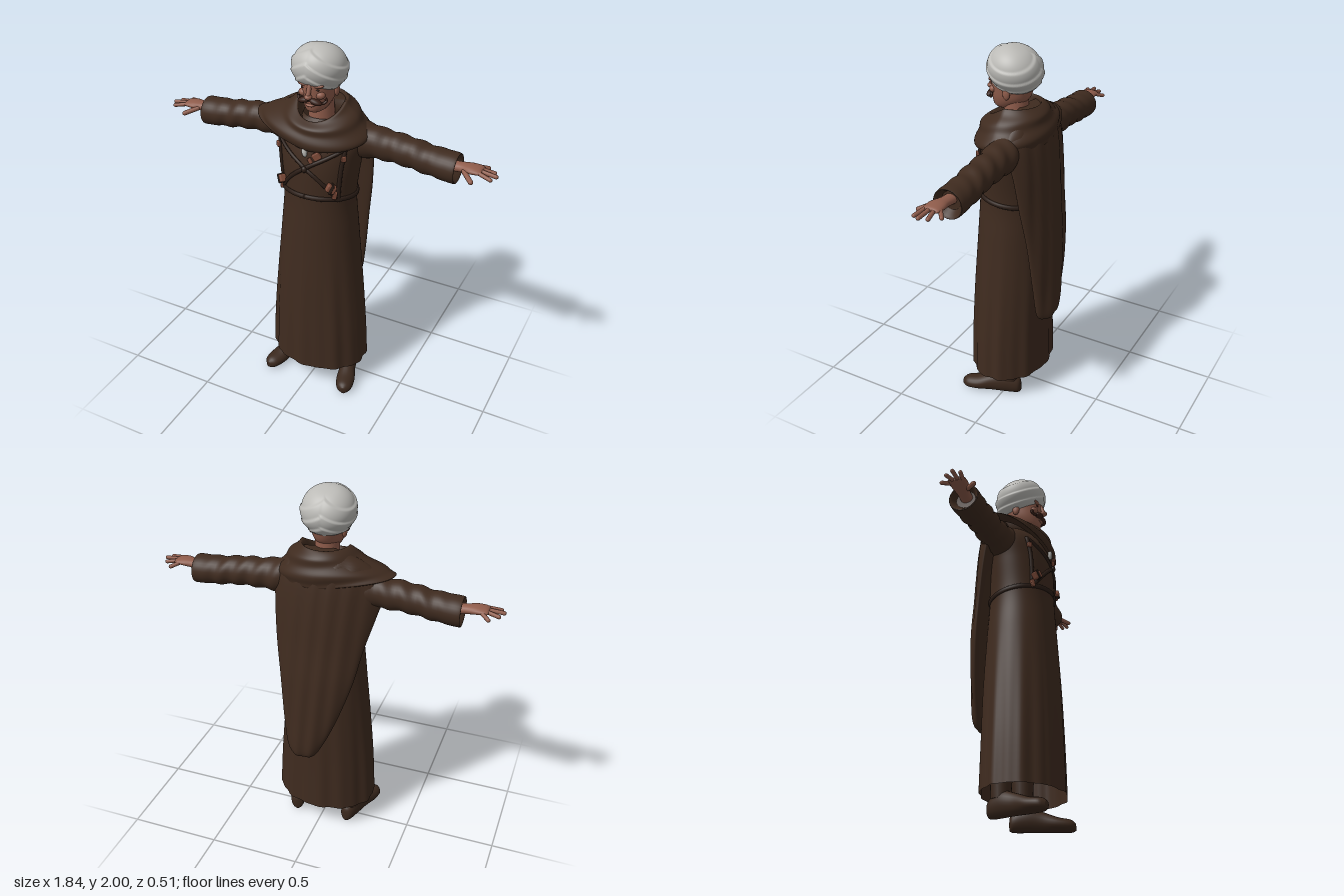
import * as THREE from 'three';
import { RoundedBoxGeometry } from 'three/addons/geometries/RoundedBoxGeometry.js';

const V = (x, y, z) => new THREE.Vector3(x, y, z);
const { smoothstep, clamp } = THREE.MathUtils;

// Catmull-Rom lookup in a table of rows, t from 0 to 1
function sample(keys, t) {
  const n = keys.length - 1, i = Math.min(Math.floor(t * n), n - 1), f = t * n - i;
  const k = (j) => keys[clamp(j, 0, n)];
  return keys[0].map((_, c) => {
    const a = k(i - 1)[c], b = k(i)[c], d = k(i + 1)[c], e = k(i + 2)[c];
    return b + 0.5 * f * (d - a + f * (2 * a - 5 * b + 4 * d - e + f * (3 * (b - d) + e - a)));
  });
}

// Closed-ring surface: fn(v, angle) gives a point
function loft(nv, nu, fn, caps = false) {
  const pos = [], idx = [];
  for (let i = 0; i <= nv; i++)
    for (let j = 0; j < nu; j++) pos.push(...fn(i / nv, (j / nu) * Math.PI * 2).toArray());
  for (let i = 0; i < nv; i++)
    for (let j = 0; j < nu; j++) {
      const k = (j + 1) % nu, a = i * nu + j, b = i * nu + k;
      idx.push(a, b, a + nu, b, b + nu, a + nu);
    }
  if (caps) for (const row of [0, nv]) {
    const c = V(0, 0, 0), id = pos.length / 3;
    for (let j = 0; j < nu; j++) c.add(V(0, 0, 0).fromArray(pos, (row * nu + j) * 3));
    pos.push(...c.divideScalar(nu).toArray());
    for (let j = 0; j < nu; j++) {
      const a = row * nu + j, b = row * nu + ((j + 1) % nu);
      idx.push(id, ...(row ? [a, b] : [b, a]));
    }
  }
  const g = new THREE.BufferGeometry();
  g.setAttribute('position', new THREE.Float32BufferAttribute(pos, 3));
  g.setIndex(idx);
  g.computeVertexNormals();
  return g;
}

// Elliptic sections along an axis; rows are [s, centre1, centre2, radius1, radius2]
function sections(axis, keys, nv, nu, mod = () => {}) {
  return loft(nv, nu, (v, a) => {
    const [s, c1, c2, r1, r2] = sample(keys, v), co = Math.cos(a), si = Math.sin(a);
    const p = axis === 'x' ? V(s, c1 + r1 * co, c2 + r2 * si)
      : axis === 'y' ? V(c1 + r1 * si, s, c2 + r2 * co)
      : V(c1 + r1 * co, c2 + r2 * si, s);
    mod(p, a);
    return p;
  }, true);
}

// Mirrored copy of an indexed geometry, with its faces turned back outwards
function mirror(geo) {
  const g = geo.clone().scale(-1, 1, 1), ix = g.index.array;
  for (let i = 0; i < ix.length; i += 3) [ix[i], ix[i + 1]] = [ix[i + 1], ix[i]];
  return g;
}

const capsule = (a, b, r) => new THREE.CapsuleGeometry(r, a.distanceTo(b), 5, 10)
  .applyQuaternion(new THREE.Quaternion().setFromUnitVectors(V(0, 1, 0), b.clone().sub(a).normalize()))
  .translate(...a.clone().add(b).multiplyScalar(0.5).toArray());

const blob = (x, y, z, rx, ry, rz, roll = 0) =>
  new THREE.SphereGeometry(1, 16, 12).scale(rx, ry, rz).rotateZ(roll).translate(x, y, z);

// Robe outline, shared by the gown and everything strapped to it
const ROBE = [
  [0.14, 0, 0.035, 0.275, 0.21], [0.4, 0, 0.035, 0.262, 0.206], [0.7, 0, 0.032, 0.238, 0.2],
  [1.0, 0, 0.03, 0.21, 0.186], [1.2, 0, 0.03, 0.195, 0.174], [1.4, 0, 0.025, 0.217, 0.175],
  [1.52, 0, 0.01, 0.235, 0.165], [1.59, 0, 0, 0.2, 0.13], [1.63, 0, 0, 0.1, 0.09],
];
function robePoint(t, a) {
  const [y, cx, cz, rx, rz] = sample(ROBE, t);
  const low = 1 - smoothstep(y, 0.15, 1.2);
  const lap = 0.02 * smoothstep(a > Math.PI ? a - 2 * Math.PI : a, -0.62, -0.57) * smoothstep(Math.abs(a - Math.PI), 0, 2.5);
  const k = 1 + low * (0.018 * Math.cos(10 * a) + 0.011 * Math.cos(17 * a + 1) + lap);
  return V(cx + rx * k * Math.sin(a), y, cz + rz * k * Math.cos(a));
}
function onRobe(a, y) {
  let i = 0;
  while (i < ROBE.length - 2 && ROBE[i + 1][0] < y) i++;
  const t = (i + (y - ROBE[i][0]) / (ROBE[i + 1][0] - ROBE[i][0])) / (ROBE.length - 1);
  return robePoint(t, a);
}
const outward = (a) => V(Math.sin(a) / 0.21, 0, Math.cos(a) / 0.175).normalize();

// Flat leather band following the robe through [angle, height] points
function strap(points, width, n = 30) {
  const at = (t) => { const [a, y] = sample(points, clamp(t, 0, 1)); return { a, p: onRobe(a, y) }; };
  return loft(n, 8, (v, u) => {
    const { a, p } = at(v), nrm = outward(a);
    const side = at(v + 0.01).p.sub(at(v - 0.01).p).normalize().cross(nrm).normalize();
    return p.addScaledVector(side, -width * Math.cos(u)).addScaledVector(nrm, 0.004 + 0.008 * Math.sin(u));
  }, true);
}
const attach = (geo, a, y, roll = 0, lift = 0.012) => {
  const n = outward(a);
  return geo.rotateZ(roll).rotateY(Math.atan2(n.x, n.z)).translate(...onRobe(a, y).addScaledVector(n, lift).toArray());
};

export function createModel() {
  const model = new THREE.Group();
  const mat = (name, color, side = THREE.FrontSide) => {
    const m = new THREE.MeshStandardMaterial({ color, side });
    m.name = name;
    return m;
  };
  const cloth = mat('brownCloth', 0x3f2b1f, THREE.DoubleSide), leather = mat('darkLeather', 0x2c1e17);
  const skin = mat('skin', 0x8f5c4b), hair = mat('hair', 0x3a2119), linen = mat('whiteLinen', 0xbcbbb7);
  const tan = mat('tanLeather', 0x7d4a38), boots = mat('bootLeather', 0x3a281d);
  const add = (name, geo, m) => {
    const mesh = new THREE.Mesh(geo, m);
    mesh.name = name;
    model.add(mesh);
  };
  const pair = (name, geo, m) => { add(name + 'Left', geo, m); add(name + 'Right', mirror(geo), m); };

  // Long robe, open at the hem
  add('robe', loft(64, 120, robePoint), cloth);

  // Sleeves with creases and a turned-in cuff
  pair('sleeve', sections('x', [
    [0.1, 1.5, -0.02, 0.06, 0.08], [0.2, 1.512, -0.025, 0.09, 0.092], [0.32, 1.506, -0.032, 0.08, 0.078],
    [0.45, 1.498, -0.03, 0.076, 0.076], [0.58, 1.48, -0.03, 0.074, 0.078], [0.7, 1.47, -0.028, 0.077, 0.08],
    [0.712, 1.47, -0.028, 0.068, 0.07], [0.68, 1.475, -0.028, 0.045, 0.05],
  ], 70, 32, (p, a) => {
    const k = 0.004 * Math.sin(p.x * 62 + 2 * Math.sin(a + 1)) * (1 - smoothstep(p.x, 0.55, 0.7));
    p.y += k * Math.cos(a);
    p.z += k * Math.sin(a);
  }), cloth);

  // Hands with spread fingers
  pair('palm', sections('x', [
    [0.66, 1.48, -0.025, 0.026, 0.032], [0.73, 1.487, -0.022, 0.024, 0.033],
    [0.78, 1.493, -0.018, 0.022, 0.045], [0.825, 1.494, -0.018, 0.016, 0.046], [0.84, 1.493, -0.018, 0.008, 0.038],
  ], 18, 20), skin);
  [[0.805, -0.05, 0.848, -0.085, 1.478], [0.825, -0.033, 0.891, -0.043, 1.482], [0.83, -0.01, 0.909, -0.004, 1.486],
    [0.825, 0.013, 0.891, 0.03, 1.482]].forEach(([x0, z0, x1, z1, y], i) =>
    pair('finger' + (i + 1), capsule(V(x0, 1.494, z0), V(x1, y, z1), 0.0105), skin));
  pair('thumb', capsule(V(0.755, 1.485, 0.012), V(0.808, 1.466, 0.064), 0.0125), skin);

  // Shoes, flat underneath and turned outwards, with trouser legs
  pair('shoe', sections('z', [
    [-0.168, 0, 0.04, 0.012, 0.03], [-0.15, 0, 0.05, 0.036, 0.05], [-0.08, 0, 0.062, 0.045, 0.066],
    [0, 0, 0.05, 0.044, 0.055], [0.08, 0, 0.036, 0.052, 0.04], [0.145, 0, 0.03, 0.042, 0.033], [0.172, 0, 0.025, 0.014, 0.018],
  ], 30, 24, (p) => { p.y = Math.max(p.y, 0); }).rotateY(0.29).translate(0.195, 0, 0.068), boots);
  pair('trouserLeg', new THREE.CylinderGeometry(0.07, 0.05, 0.42, 20).translate(0.16, 0.3, -0.025), boots);

  // Cape hanging down the back to an off-centre tip
  add('cape', sections('y', [
    [0.52, 0.06, -0.21, 0.03, 0.015], [0.56, 0.06, -0.214, 0.085, 0.04], [0.75, 0.03, -0.207, 0.145, 0.042],
    [1.0, 0, -0.192, 0.2, 0.044], [1.2, -0.01, -0.172, 0.235, 0.044], [1.4, -0.03, -0.148, 0.27, 0.05],
    [1.55, -0.045, -0.112, 0.29, 0.066], [1.64, -0.03, -0.085, 0.21, 0.07], [1.7, 0, -0.07, 0.12, 0.045],
  ], 50, 72, (p, a) => {
    p.z += 0.8 * p.x * p.x + 0.005 * Math.cos(p.x * 70 + p.y * 6) * Math.max(0, -Math.cos(a));
  }), cloth);

  // Draped cowl, spreading over the right shoulder
  add('cowl', loft(48, 96, (v, a) => {
    const f = Math.max(0, Math.cos(a)), r = Math.max(0, -Math.sin(a));
    const [y, rx, rz] = sample([
      [1.53 - 0.02 * f + 0.04 * r, 0.22 + 0.08 * r, 0.165], [1.545 - 0.04 * f + 0.045 * r, 0.262 + 0.1 * r, 0.193],
      [1.615 - 0.04 * f + 0.01 * r, 0.225 + 0.05 * r, 0.188], [1.68 - 0.06 * f, 0.168, 0.165],
      [1.715 - 0.08 * f, 0.122, 0.126], [1.64 - 0.05 * f, 0.095, 0.1],
    ], v);
    const k = 1 + 0.03 * Math.sin(v * 24 + 1.6 * Math.sin(a + 0.5)) * smoothstep(v, 0.05, 0.3);
    return V(rx * k * Math.sin(a), y, 0.012 + rz * k * Math.cos(a));
  }), cloth);

  // Head and face
  add('neck', new THREE.CylinderGeometry(0.06, 0.068, 0.18, 24).translate(0, 1.67, 0.015), skin);
  add('head', sections('y', [
    [1.672, 0, 0.085, 0.025, 0.03], [1.69, 0, 0.07, 0.052, 0.068], [1.73, 0, 0.048, 0.074, 0.098],
    [1.78, 0, 0.038, 0.084, 0.111], [1.85, 0, 0.03, 0.09, 0.116], [1.92, 0, 0.03, 0.07, 0.09],
  ], 24, 32), skin);
  add('noseBridge', capsule(V(0, 1.822, 0.143), V(0, 1.778, 0.162), 0.012), skin);
  add('noseTip', blob(0, 1.772, 0.161, 0.02, 0.014, 0.02), skin);
  add('lowerLip', blob(0, 1.722, 0.143, 0.025, 0.008, 0.012), skin);
  pair('ear', blob(0.088, 1.775, 0.025, 0.012, 0.032, 0.02), skin);
  pair('cheek', blob(0.045, 1.775, 0.12, 0.026, 0.02, 0.022), skin);
  pair('browRidge', blob(0.038, 1.824, 0.131, 0.032, 0.01, 0.015, 0.12), skin);
  pair('eye', blob(0.036, 1.805, 0.136, 0.014, 0.004, 0.005), hair);
  pair('moustache', blob(0.03, 1.746, 0.143, 0.036, 0.015, 0.02, -0.25), hair);
  pair('moustacheCurl', new THREE.TubeGeometry(new THREE.CatmullRomCurve3(
    [V(0.045, 1.741, 0.142), V(0.066, 1.738, 0.126), V(0.077, 1.752, 0.114), V(0.07, 1.762, 0.118)]), 14, 0.007, 8), hair);

  // Wound turban: overlapping folds that cross above the brow
  const saw = (t) => { const f = t - Math.floor(t); return f < 0.85 ? f / 0.85 : (1 - f) / 0.15; };
  add('turban', loft(80, 112, (v, a) => {
    const h = -Math.PI / 2 + v * Math.PI;
    const p = V(Math.cos(h) * Math.sin(a), Math.sin(h), Math.cos(h) * Math.cos(a));
    const left = saw(2.3 * (p.y * 0.85 - p.x * 0.5 + p.z * 0.15) + 0.2), right = saw(2.3 * (p.y * 0.85 + p.x * 0.5 + p.z * 0.15) + 0.45);
    const fold = THREE.MathUtils.lerp(left, right, smoothstep(p.x, -0.1, 0.02));
    return p.multiplyScalar(0.975 + 0.045 * fold * smoothstep(Math.cos(h), 0, 0.5));
  }).scale(0.141, 0.121, 0.146).rotateX(-0.3).translate(-0.005, 1.878, 0.024), linen);

  // Harness: crossed straps, side straps and belt
  add('crossStrapA', strap([[-0.85, 1.51], [-0.4, 1.45], [0, 1.4], [0.4, 1.33], [0.85, 1.24]], 0.011), leather);
  add('crossStrapB', strap([[0.85, 1.51], [0.4, 1.45], [0, 1.4], [-0.4, 1.33], [-0.85, 1.24]], 0.011), leather);
  pair('sideStrap', strap([[0.87, 1.52], [0.88, 1.35], [0.9, 1.22]], 0.012), leather);
  add('belt', strap([...Array(13).keys()].map((i) => {
    const a = (i / 12) * Math.PI * 2;
    return [a, 1.215 + 0.025 * Math.cos(a)];
  }), 0.014, 72), leather);
  for (const a of [0.87, -0.87])
    add('strapBuckle', attach(new RoundedBoxGeometry(0.026, 0.03, 0.016, 2, 0.005), a, 1.46), tan);

  // Pouches, chest ornament and white tassel
  for (const [a, y, roll] of [[0.66, 1.305, -0.5], [-0.78, 1.285, 0.5]]) {
    add('pouch', attach(new RoundedBoxGeometry(0.05, 0.042, 0.035, 2, 0.008), a, y, roll, 0.018), tan);
    add('pouchBand', attach(new RoundedBoxGeometry(0.014, 0.05, 0.04, 2, 0.004), a, y, roll, 0.02), leather);
    add('pouchTail', attach(new RoundedBoxGeometry(0.022, 0.04, 0.02, 2, 0.005), a + Math.sign(a) * 0.12, y - 0.045, roll * 0.4), tan);
  }
  add('chestOrnament', attach(new RoundedBoxGeometry(0.042, 0.038, 0.024, 2, 0.006), 0.26, 1.475, 0.6, 0.016), tan);
  add('ornamentTie', attach(new RoundedBoxGeometry(0.018, 0.03, 0.018, 2, 0.005), 0.13, 1.445, 0.5), tan);
  add('whiteTassel', attach(blob(0, 0, 0, 0.014, 0.028, 0.012), -0.02, 1.485, 0.15), linen);
  add('harnessKnot', attach(blob(0, 0, 0, 0.015, 0.017, 0.012), 0, 1.4), leather);
  return model;
}
